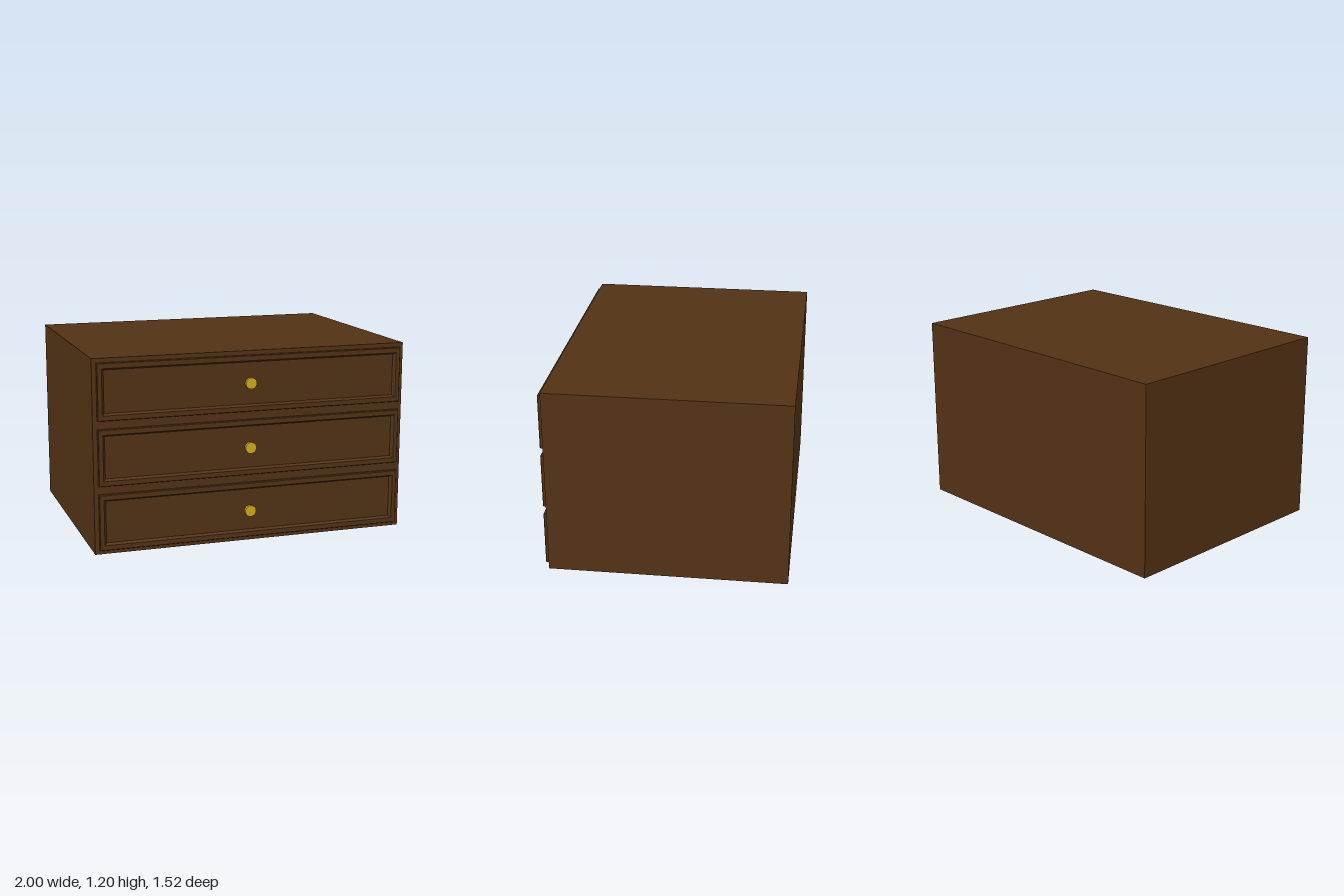
import * as THREE from 'three';

const wood = new THREE.MeshStandardMaterial({ color: 0x523214 });
const brass = new THREE.MeshStandardMaterial({ color: 0xd0ae16 });

// Flat-shaded loft through rectangular rings [halfWidth, halfHeight, z], back to front
function rectLoft(rings) {
  const pos = [];
  const corners = rings.map(([w, h, z]) => [[-w, -h, z], [w, -h, z], [w, h, z], [-w, h, z]]);
  for (let r = 0; r < corners.length - 1; r++) {
    const a = corners[r], b = corners[r + 1];
    for (let i = 0; i < 4; i++) {
      const j = (i + 1) % 4;
      pos.push(...a[i], ...a[j], ...b[j], ...a[i], ...b[j], ...b[i]);
    }
  }
  // closing panel
  const e = corners[corners.length - 1];
  pos.push(...e[0], ...e[1], ...e[2], ...e[0], ...e[2], ...e[3]);
  const g = new THREE.BufferGeometry();
  g.setAttribute('position', new THREE.Float32BufferAttribute(pos, 3));
  g.computeVertexNormals();
  return g;
}

function addMesh(parent, name, geometry, material, x, y, z) {
  const mesh = new THREE.Mesh(geometry, material);
  mesh.name = name;
  mesh.position.set(x, y, z);
  parent.add(mesh);
  return mesh;
}

export function createModel() {
  const model = new THREE.Group();
  model.name = 'drawerChest';

  // Solid cabinet
  addMesh(model, 'cabinet', new THREE.BoxGeometry(2, 1.196, 1.492), wood, 0, 0.598, -0.012);

  // Drawer front: softened rim, flat frame, bevel down to the recessed panel
  const frontGeometry = rectLoft([
    [0.973, 0.173, 0.73],
    [0.973, 0.173, 0.754],
    [0.97, 0.17, 0.758],
    [0.945, 0.141, 0.758],
    [0.93, 0.13, 0.738],
  ]);
  const knobGeometry = new THREE.CylinderGeometry(0.035, 0.035, 0.02, 32).rotateX(Math.PI / 2);

  // Three stacked drawers, each with a round knob
  for (let i = 0; i < 3; i++) {
    const drawer = new THREE.Group();
    drawer.name = `drawer${i + 1}`;
    addMesh(drawer, 'drawerFront', frontGeometry, wood, 0, 0.2 + i * 0.398, 0);
    addMesh(drawer, 'knob', knobGeometry, brass, -0.017, 0.19 + i * 0.403, 0.747);
    model.add(drawer);
  }
  return model;
}
